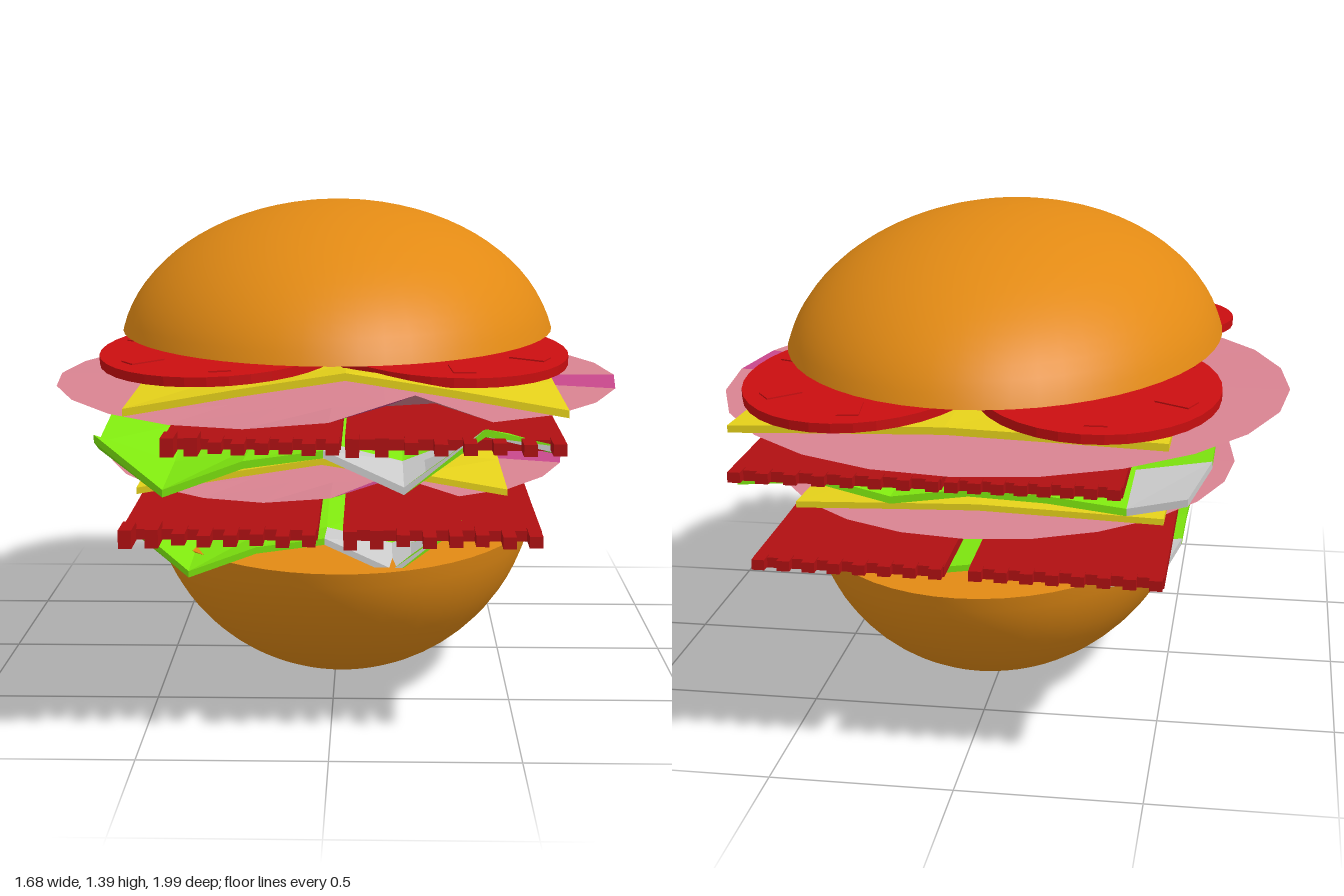
import * as THREE from 'three';

const BUN = 0xe28a14, LEAF = 0x7fe80f, CHEESE = 0xe6d21a, HAM = 0xd98391;
const HAM_FOLD = 0xc8488c, BACON = 0xb01012, TOMATO = 0xca0e10, GREY = 0xcccccc;

const material = (color, flat = true) =>
  new THREE.MeshStandardMaterial({ color, flatShading: flat, side: THREE.DoubleSide });

function add(parent, name, geometry, color, x = 0, y = 0, z = 0, flat = true) {
  const mesh = new THREE.Mesh(geometry, material(color, flat));
  mesh.name = name;
  mesh.position.set(x, y, z);
  parent.add(mesh);
  return mesh;
}

// Smooth dome with a flat lid; height is negative for the lower half
function bun(parent, name, rx, height, rz, x, y, z) {
  const group = new THREE.Group();
  group.name = name;
  const end = THREE.MathUtils.degToRad(80), points = [];
  for (let i = 0; i <= 18; i++) {
    const t = end * (1 - i / 18);
    points.push(new THREE.Vector2(
      Math.sin(t) / Math.sin(end),
      (Math.cos(t) - Math.cos(end)) / (1 - Math.cos(end))));
  }
  const crust = new THREE.LatheGeometry(points, 56);
  if (height < 0) crust.rotateX(Math.PI);
  crust.scale(rx, Math.abs(height), rz);
  add(group, name + 'Crust', crust, BUN, 0, 0, 0, false);
  const lid = new THREE.CircleGeometry(1, 56).rotateX(height < 0 ? -Math.PI / 2 : Math.PI / 2);
  add(group, name + 'CutFace', lid.scale(rx, 1, rz), BUN, 0, 0, 0, false);
  group.position.set(x, y, z);
  parent.add(group);
}

// Thin slab folded by a cross profile (left to right), its strength and a side profile (back to front)
function foldedSheet(w, t, d, cross, strength, side) {
  const nx = cross.length - 1, nz = side.length - 1;
  const g = new THREE.BoxGeometry(w, t, d, nx, 1, nz);
  const p = g.attributes.position;
  for (let i = 0; i < p.count; i++) {
    const ix = Math.round((p.getX(i) / w + 0.5) * nx);
    const iz = Math.round((p.getZ(i) / d + 0.5) * nz);
    p.setY(i, p.getY(i) + cross[ix] * strength[iz] + side[iz]);
  }
  return g;
}

// Split a geometry into two meshes, by the position of each triangle
function twoTone(parent, name, geometry, colorA, colorB, isB) {
  const group = new THREE.Group();
  group.name = name;
  const src = geometry.toNonIndexed().attributes.position.array;
  const lists = [[], []];
  for (let i = 0; i < src.length; i += 9) {
    const tri = Array.from(src.slice(i, i + 9));
    const cx = (tri[0] + tri[3] + tri[6]) / 3, cz = (tri[2] + tri[5] + tri[8]) / 3;
    lists[isB(cx, cz) ? 1 : 0].push(...tri);
  }
  lists.forEach((list, i) => {
    if (!list.length) return;
    const g = new THREE.BufferGeometry();
    g.setAttribute('position', new THREE.Float32BufferAttribute(list, 3));
    g.computeVertexNormals();
    add(group, name + (i ? 'Accent' : 'Main'), g, i ? colorB : colorA);
  });
  parent.add(group);
  return group;
}

// Wavy leaf with clipped corners and a few pale patches
function lettuce(parent, name, s, x, y, z) {
  const g = foldedSheet(1.24, 0.02, 1.74,
    [0.03, -0.08, 0, 0.03, -0.07, 0.09, 0.04],
    [0.3, 0.3, 0.35, 0.3, 0.35, 0.5, 0.95],
    [0, 0.015, 0, -0.035, 0.025, -0.02, 0]);
  const p = g.attributes.position;
  for (let i = 0; i < p.count; i++) {
    if (p.getX(i) < -0.6 && p.getZ(i) > 0.8) p.setZ(i, 0.66);
    if (p.getX(i) < -0.6 && p.getZ(i) < -0.8) p.setX(i, -0.57);
  }
  const leaf = twoTone(parent, name, g, LEAF, GREY, (cx, cz) =>
    (cx > 0.02 && cx < 0.33 && cz > 0.66) || (cx < -0.45 && cz < -0.6) || (cx > 0.5 && cz > 0.78));
  leaf.scale.setScalar(s);
  leaf.position.set(x, y, z);
}

// Thin oval slice with a raised fold at the front
function ham(parent, name, s, y) {
  const g = new THREE.RingGeometry(0.001, 1, 24, 3).rotateX(-Math.PI / 2).scale(0.84, 1, 0.99);
  const p = g.attributes.position;
  for (let i = 0; i < p.count; i++) {
    const x = p.getX(i), z = p.getZ(i);
    const peak = Math.max(0, 1 - Math.hypot((x - 0.2) / 0.24, (z - 0.96) / 0.3));
    p.setY(i, 0.085 * peak + 0.01 * Math.sin(5 * x + 1) * Math.max(0, z));
  }
  const slice = twoTone(parent, name, g, HAM, HAM_FOLD, (cx, cz) =>
    (cx > 0.6 && cz > 0.05 && cz < 0.45 && cx + 0.55 * cz < 0.86) || (cx > 0.12 && cx < 0.3 && cz > 0.86));
  slice.scale.set(s, s, s);
  slice.position.y = y;
}

// Square slice, its front edge bent up into a ridge
function cheese(parent, name, s, x, y, z) {
  const g = foldedSheet(1.15, 0.02, 1.72,
    [-0.05, 0, 0.045, 0, -0.05], [0.2, 0.3, 0.3, 0.5, 1], [0, -0.01, 0.01, -0.015, 0]);
  add(parent, name, g, CHEESE, x, y, z).scale.set(s, s, s);
}

// Flat rasher with a comb of teeth at both ends
function bacon(parent, name, x0, x1, y) {
  const group = new THREE.Group();
  group.name = name;
  const w = x1 - x0, count = 8;
  const slab = foldedSheet(w, 0.028, 1.82, [0, 0], [0, 0, 0, 0, 0, 0, 0],
    [-0.003, 0, 0.006, 0.003, 0.006, 0, -0.003]);
  add(group, 'rasher', slab, BACON);
  for (let i = 0; i < count; i++) {
    const x = -w / 2 + 0.02 + i * (w - 0.04) / (count - 1);
    const h = i < 2 ? 0.048 : 0.03;
    add(group, 'frontTooth', new THREE.BoxGeometry(0.034, h, 0.1), BACON, x, i < 2 ? 0.004 : 0, 0.95 - 0.01 * (i % 3));
    add(group, 'backTooth', new THREE.BoxGeometry(0.034, 0.028, 0.05), BACON, x, 0, -0.915);
  }
  group.position.set((x0 + x1) / 2, y, 0);
  parent.add(group);
}

// Oval slice with shallow seed pockets, tilted down toward the outside
function tomato(parent, sx, sz) {
  const group = new THREE.Group();
  group.name = 'tomatoSlice';
  add(group, 'slice', new THREE.CylinderGeometry(1, 1, 0.026, 36).scale(0.335, 1, 0.42), TOMATO);
  for (let i = 0; i < 6; i++) {
    const a = (i + 0.4) * Math.PI / 3;
    const seed = add(group, 'seedPocket', new THREE.BoxGeometry(0.06, 0.034, 0.1), TOMATO,
      0.24 * Math.cos(a), 0, 0.31 * Math.sin(a));
    seed.rotation.y = Math.PI / 2 - a;
  }
  group.position.set(sx * 0.32, 0.985, sz > 0 ? 0.4 : -0.52);
  group.rotation.set(sz * 0.06, 0, -sx * 0.03);
  parent.add(group);
}

export function createModel() {
  const model = new THREE.Group();
  model.name = 'sandwich';

  bun(model, 'bottomBun', 0.57, -0.465, 0.845, 0.02, 0.465, 0.035);
  bun(model, 'topBun', 0.637, 0.37, 0.94, 0.003, 1.02, 0.01);

  // Lower stack
  lettuce(model, 'lowerLettuce', 0.87, -0.015, 0.51, 0.05);
  bacon(model, 'lowerBaconRight', -0.535, -0.03, 0.58);
  bacon(model, 'lowerBaconLeft', 0.035, 0.545, 0.58);
  ham(model, 'lowerHam', 0.815, 0.633);
  cheese(model, 'lowerCheese', 0.86, -0.025, 0.695, -0.01);

  // Upper stack
  lettuce(model, 'upperLettuce', 1, -0.015, 0.76, 0.04);
  bacon(model, 'upperBaconRight', -0.425, 0.03, 0.817);
  bacon(model, 'upperBaconLeft', 0.04, 0.6, 0.817);
  ham(model, 'upperHam', 1, 0.862);
  cheese(model, 'upperCheese', 1, 0.04, 0.935, -0.005);

  for (const sx of [-1, 1]) for (const sz of [-1, 1]) tomato(model, sx, sz);

  return model;
}
